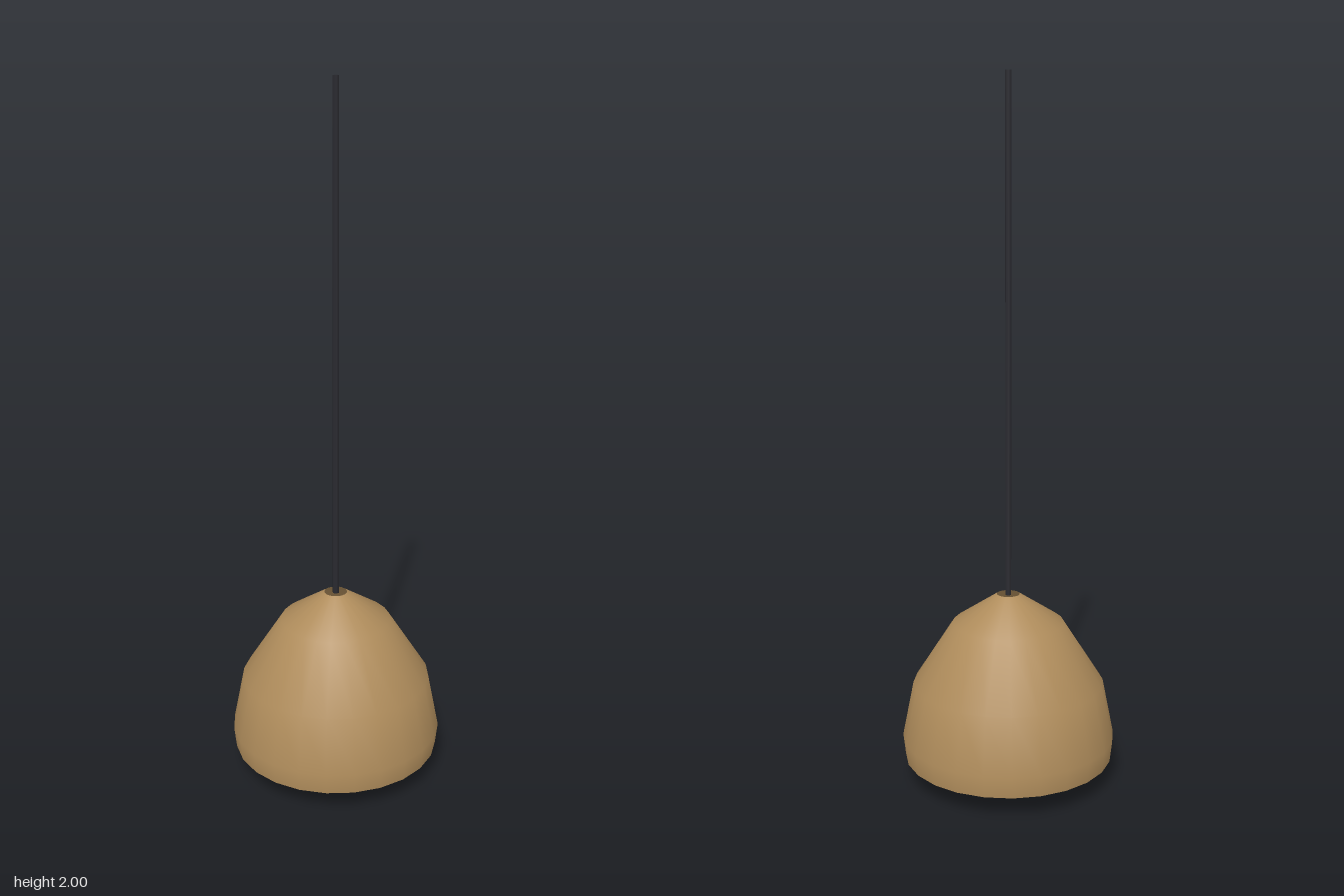
import * as THREE from 'three';

function part(name, geometry, color, y = 0) {
  const material = new THREE.MeshStandardMaterial({ color, side: THREE.DoubleSide });
  const mesh = new THREE.Mesh(geometry, material);
  mesh.name = name;
  mesh.position.y = y;
  return mesh;
}

export function createModel() {
  const lamp = new THREE.Group();
  lamp.name = 'pendantLamp';

  // Thin bell-shaped shade, open at the rim and at the small top hole
  const profile = [[0.3, 0.063], [0.307, 0.124], [0.275, 0.285], [0.16, 0.464], [0.033, 0.548]]
    .map(([r, y]) => new THREE.Vector2(r, y));
  lamp.add(part('shade', new THREE.LatheGeometry(profile, 24), 0xb08d5c));

  // Round bulb hanging just below the rim
  const bulbRadius = 0.087;
  lamp.add(part('bulb', new THREE.SphereGeometry(bulbRadius, 24, 16), 0xf5e6c8, bulbRadius));

  // Six-sided cord rising from the shade
  const cordBottom = 0.545, cordLength = 2 - cordBottom;
  lamp.add(part('cord', new THREE.CylinderGeometry(0.0095, 0.0095, cordLength, 6), 0x2a2a30,
    cordBottom + cordLength / 2));

  return lamp;
}
